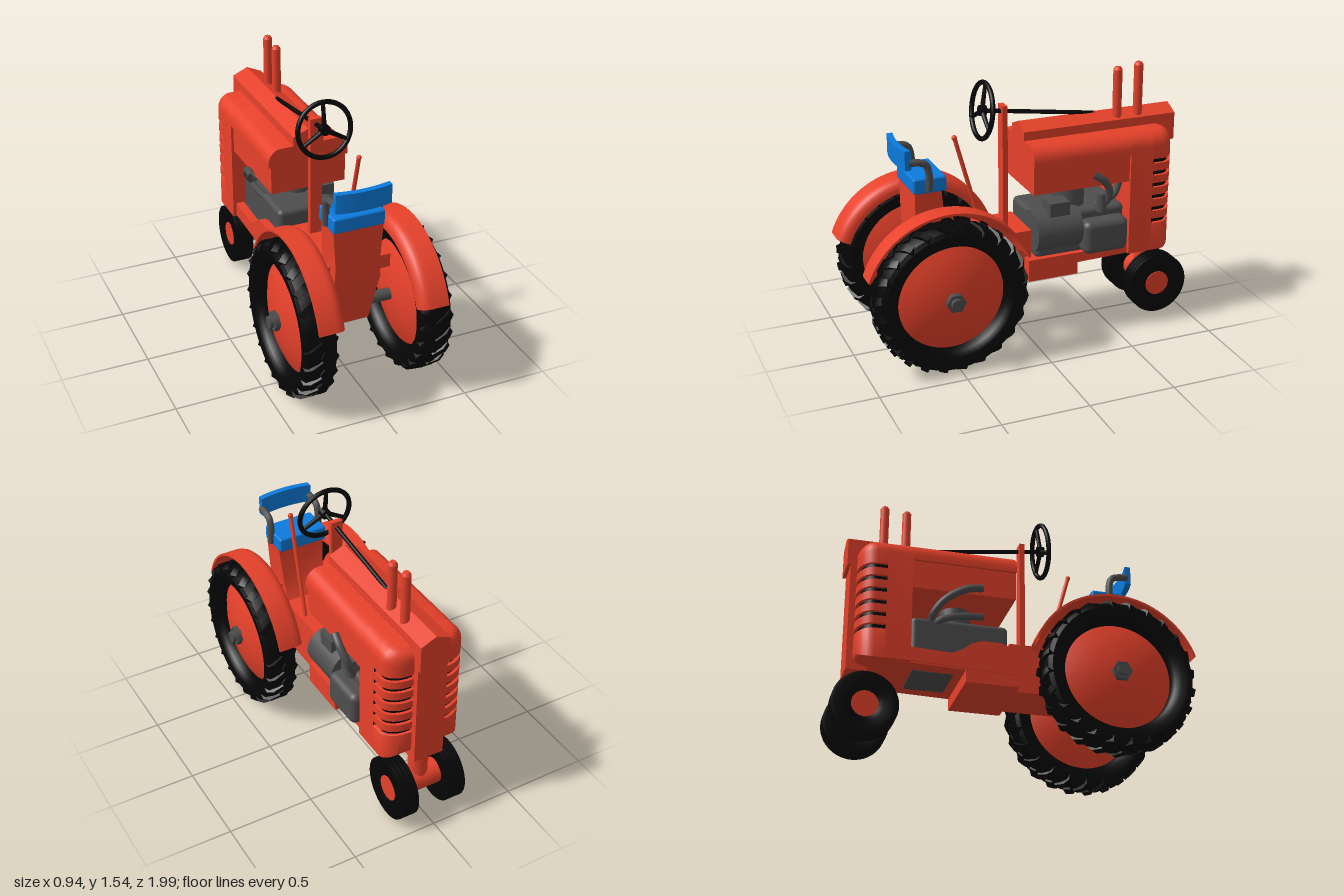
import * as THREE from 'three';
import { toCreasedNormals } from 'three/addons/utils/BufferGeometryUtils.js';
import { RoundedBoxGeometry } from 'three/addons/geometries/RoundedBoxGeometry.js';

const V = (x, y, z) => new THREE.Vector3(x, y, z);
const mat = (name, color, side = THREE.FrontSide) => {
  const m = new THREE.MeshStandardMaterial({ color, side });
  m.name = name;
  return m;
};

export function createModel() {
  const red = mat('red paint', 0xe6412a, THREE.DoubleSide);
  const black = mat('black rubber', 0x050505);
  const grey = mat('grey metal', 0x4e4e4e);
  const blue = mat('blue seat', 0x0b7bdc);
  const root = new THREE.Group();
  root.name = 'tractor';

  const add = (name, geo, m, x = 0, y = 0, z = 0, parent = root) => {
    const mesh = new THREE.Mesh(geo, m);
    mesh.name = name;
    mesh.position.set(x, y, z);
    parent.add(mesh);
    return mesh;
  };
  // box given by its limits
  const box = (name, m, x0, x1, y0, y1, z0, z1, r = 0) => add(name,
    r ? new RoundedBoxGeometry(x1 - x0, y1 - y0, z1 - z0, 3, r) : new THREE.BoxGeometry(x1 - x0, y1 - y0, z1 - z0),
    m, (x0 + x1) / 2, (y0 + y1) / 2, (z0 + z1) / 2);
  // straight round bar between two points
  const rod = (name, m, a, b, r, r2 = r, sides = 16, parent = root) => {
    const mesh = add(name, new THREE.CylinderGeometry(r2, r, a.distanceTo(b), sides), m, 0, 0, 0, parent);
    mesh.position.copy(a).lerp(b, 0.5);
    mesh.quaternion.setFromUnitVectors(V(0, 1, 0), b.clone().sub(a).normalize());
    return mesh;
  };
  const pipe = (name, m, pts, r) =>
    add(name, new THREE.TubeGeometry(new THREE.CatmullRomCurve3(pts), 24, r, 10), m);
  // profile of [radius, x] pairs turned around the x axis
  const turned = (pts, seg = 48, start = 0, len = Math.PI * 2) => toCreasedNormals(
    new THREE.LatheGeometry(pts.map(p => new THREE.Vector2(p[0], p[1])), seg, start, len).rotateZ(-Math.PI / 2), 0.6);
  // [z, y] outline extruded across x
  const slab = (name, m, pts, x0, x1) => {
    const s = new THREE.Shape(pts.map(p => new THREE.Vector2(-p[0], p[1])));
    const g = new THREE.ExtrudeGeometry(s, { depth: x1 - x0, bevelEnabled: false });
    return add(name, g.rotateY(Math.PI / 2), m, x0, 0, 0);
  };
  // skin over convex rings of equal length, with end caps
  const loft = rings => {
    const p = [], n = rings[0].length;
    const tri = (...v) => v.forEach(q => p.push(q.x, q.y, q.z));
    for (let k = 0; k + 1 < rings.length; k++) for (let i = 0; i < n; i++) {
      const j = (i + 1) % n, a = rings[k], b = rings[k + 1];
      tri(a[i], a[j], b[j]);
      tri(a[i], b[j], b[i]);
    }
    const end = rings[rings.length - 1];
    for (let i = 1; i + 1 < n; i++) {
      tri(rings[0][0], rings[0][i + 1], rings[0][i]);
      tri(end[0], end[i], end[i + 1]);
    }
    const g = new THREE.BufferGeometry();
    g.setAttribute('position', new THREE.Float32BufferAttribute(p, 3));
    return toCreasedNormals(g, 0.6);
  };

  // ---- Hood: round-shouldered sections, narrowing round the nose corners
  const section = (z, bottom, top = 1.18, r = 0.08, inset = 0) => {
    const w = 0.24 - inset;
    const ring = [V(-w, bottom, z), V(w, bottom, z)];
    for (let i = 0; i <= 12; i++) {
      const t = Math.PI * i / 12, s = i <= 6 ? 1 : -1;
      ring.push(V(s * (w - r) + r * Math.cos(t), top - r + r * Math.sin(t), z));
    }
    return ring;
  };
  const noseLoft = f => {
    const rings = [];
    for (let i = 7; i >= 0; i--) {
      const t = i / 7 * Math.PI / 2, k = 1 - Math.cos(t);
      rings.push(f(-0.79 - 0.09 * Math.sin(t), 0.13 * k, 0.06 * k));
    }
    rings.push(f(-0.73, 0, 0));
    return loft(rings);
  };
  add('grilleHousing', loft([section(-0.731, 0.46), section(-0.59, 0.46)]), red);
  add('noseTop', noseLoft((z, ex, ey) => section(z, 1.022, 1.18 - ey, 0.08 - 0.4 * ey, ex)), red);
  add('noseBottom', noseLoft((z, ex, ey) => section(z, 0.46 + ey, 0.63, 0.004, ex)), red);
  add('hood', loft([section(-0.6, 1.07), section(0, 1.07)]), red);
  box('hoodSidePanels', red, -0.225, 0.225, 0.905, 1.08, -0.6, -0.002);
  const spine = new THREE.Shape([[-0.09, 1.1], [0.09, 1.1], [0.09, 1.23], [0, 1.27], [-0.09, 1.23]]
    .map(p => new THREE.Vector2(...p)));
  add('hoodSpine', new THREE.ExtrudeGeometry(spine, { depth: 0.935, bevelEnabled: false }), red, 0, 0, -0.935);
  box('noseCap', red, -0.09, 0.09, 1.07, 1.2, -0.935, -0.8);
  box('noseColumn', red, -0.09, 0.09, 0.44, 1.08, -0.915, -0.8);

  // ---- Grille: dark core showing between red fins
  const plate = (e, height) => {
    const s = new THREE.Shape();
    s.moveTo(-0.24 + e, 0.73).lineTo(0.24 - e, 0.73);
    s.absellipse(0.11, 0.79, 0.13 - e, 0.09 - e, 0, Math.PI / 2, false, 0);
    s.absellipse(-0.11, 0.79, 0.13 - e, 0.09 - e, Math.PI / 2, Math.PI, false, 0);
    return new THREE.ExtrudeGeometry(s, { depth: height, bevelEnabled: false, curveSegments: 10 }).rotateX(-Math.PI / 2);
  };
  add('grilleCore', plate(0.018, 0.4), black, 0, 0.625, 0);
  box('grilleBack', black, -0.238, 0.238, 0.63, 1.022, -0.734, -0.72);
  const fin = plate(0, 0.046);
  for (let i = 0; i < 5; i++) add('grilleFin', fin, red, 0, 0.657 + i * 0.073, 0);

  // ---- Exhaust and intake stacks
  for (const [z, top] of [[-0.585, 1.53], [-0.715, 1.545]]) {
    rod('stack', red, V(0.05, 1.2, z), V(0.05, top - 0.015, z), 0.026);
    rod('stackTip', red, V(0.05, top - 0.015, z), V(0.05, top, z), 0.026, 0.017);
  }

  // ---- Chassis and transmission
  slab('frontFrame', red, [[0.02, 0.38], [-0.28, 0.38], [-0.28, 0.45], [-0.7, 0.46], [-0.7, 0.51], [0.02, 0.51]], -0.215, 0.215);
  slab('sideSkirt', red, [[0, 0.45], [-0.6, 0.47], [-0.6, 0.55], [-0.36, 0.54], [-0.3, 0.57], [-0.24, 0.615], [-0.18, 0.63],
    [-0.08, 0.63], [-0.03, 0.61], [0, 0.57]], -0.22, -0.17);
  box('transmission', red, -0.15, 0.15, 0.38, 0.665, -0.02, 0.4);
  const quad = (y, x, z0, z1) => [V(-x, y, z1), V(x, y, z1), V(x, y, z0), V(-x, y, z0)];
  add('rearHousing', loft([quad(0.37, 0.095, 0.34, 0.6), quad(0.665, 0.145, 0.3, 0.64)]), red);
  add('seatPedestal', loft([quad(0.66, 0.135, 0.42, 0.65), quad(0.76, 0.13, 0.48, 0.655), quad(0.985, 0.145, 0.505, 0.655)]), red);
  box('fenderBracket', red, -0.225, 0.225, 0.66, 0.74, 0.5, 0.59);
  box('dashPost', red, -0.035, 0.035, 0.65, 1.375, 0.075, 0.105);
  rod('gearLever', red, V(0.115, 0.66, 0.25), V(0.11, 1.265, 0.415), 0.012);
  add('leverKnob', new THREE.SphereGeometry(0.015, 12, 8), red, 0.11, 1.262, 0.415);

  // ---- Engine
  box('engineBlock', grey, -0.17, 0.19, 0.5, 0.76, -0.58, -0.03, 0.03);
  rod('clutchHousing', grey, V(0.13, 0.655, -0.3), V(0.13, 0.655, -0.025), 0.12, 0.12, 24);
  box('crankcaseCover', grey, 0.05, 0.275, 0.505, 0.705, -0.575, -0.3, 0.04);
  box('oilPan', grey, -0.13, 0.13, 0.45, 0.52, -0.56, -0.33);
  rod('cylinderBarrel', grey, V(0.05, 0.72, -0.29), V(0.05, 0.91, -0.29), 0.09, 0.09, 24);
  box('magneto', grey, 0.1, 0.21, 0.75, 0.83, -0.23, -0.11);
  rod('carburettor', grey, V(0.2, 0.74, -0.43), V(0.2, 0.85, -0.43), 0.03);
  pipe('exhaustManifold', grey, [V(0.16, 0.77, -0.42), V(0.21, 0.8, -0.455), V(0.245, 0.88, -0.455), V(0.26, 0.95, -0.41), V(0.255, 0.99, -0.35)], 0.022);
  pipe('coolantHose', grey, [V(0.1, 0.78, -0.46), V(0.13, 0.79, -0.53), V(0.13, 0.87, -0.57), V(0.13, 0.91, -0.58)], 0.022);
  pipe('sideHose', grey, [V(-0.14, 0.74, -0.46), V(-0.18, 0.78, -0.46), V(-0.22, 0.86, -0.4), V(-0.25, 0.92, -0.29), V(-0.265, 0.93, -0.2)], 0.022);
  pipe('lowerHose', grey, [V(-0.13, 0.72, -0.45), V(-0.17, 0.75, -0.42), V(-0.19, 0.78, -0.3), V(-0.19, 0.79, -0.18)], 0.02);

  // ---- Seat
  box('seatCushion', blue, -0.15, 0.15, 0.98, 1.068, 0.475, 0.665, 0.012);
  const back = new THREE.BoxGeometry(0.32, 0.11, 0.035, 10, 1, 1);
  const bp = back.attributes.position;
  for (let i = 0; i < bp.count; i++) bp.setZ(i, bp.getZ(i) - 0.8 * bp.getX(i) ** 2);
  back.computeVertexNormals();
  add('seatBackrest', back, blue, 0, 1.185, 0.714);
  for (const s of [-1, 1]) {
    const x = s * 0.155;
    pipe('seatArm', grey, [V(x, 1.0, 0.578), V(x, 1.1, 0.578), V(x, 1.15, 0.595), V(x, 1.165, 0.63), V(x, 1.17, 0.69)], 0.02);
  }

  // ---- Steering wheel and shaft
  const steering = new THREE.Group();
  steering.name = 'steeringWheel';
  steering.position.set(0, 1.357, 0.212);
  steering.rotation.x = -0.14;
  root.add(steering);
  add('steeringRim', new THREE.TorusGeometry(0.155, 0.014, 10, 40), black, 0, 0, 0, steering);
  for (let i = 0; i < 3; i++) {
    const a = Math.PI / 2 + i * Math.PI * 2 / 3;
    rod('steeringSpoke', black, V(0, 0, 0), V(0.155 * Math.cos(a), 0.155 * Math.sin(a), 0), 0.015, 0.011, 8, steering);
  }
  rod('steeringHub', black, V(0, 0, -0.02), V(0, 0, 0.018), 0.03, 0.03, 16, steering);
  rod('steeringShaft', black, V(0, 1.357, 0.212), V(0, 1.26, -0.46), 0.012);

  // ---- Rear axle, wheels and fenders
  rod('rearAxle', grey, V(-0.47, 0.445, 0.535), V(0.47, 0.445, 0.535), 0.034, 0.034, 20);
  const rearRim = turned([[0, -0.085], [0.08, -0.08], [0.16, -0.067], [0.24, -0.044], [0.306, -0.015],
    [0.306, 0.015], [0.24, 0.044], [0.16, 0.067], [0.08, 0.08], [0, 0.085]]);
  const rearTyre = turned([[0.304, -0.03], [0.315, -0.065], [0.345, -0.089], [0.39, -0.093], [0.412, -0.08], [0.427, -0.03], [0.427, 0.03],
    [0.412, 0.08], [0.39, 0.093], [0.345, 0.089], [0.315, 0.065], [0.304, 0.03], [0.304, -0.03]], 64);
  const fender = turned([[0.42, 0.213], [0.445, 0.214], [0.467, 0.222], [0.482, 0.237], [0.489, 0.256], [0.491, 0.275], [0.491, 0.372],
    [0.478, 0.372], [0.478, 0.27], [0.455, 0.232], [0.42, 0.223], [0.42, 0.213]], 36, -Math.PI / 2 - 1.222, 2.444);
  // tread bar, dropping towards the shoulder
  const lugGeo = new THREE.BoxGeometry(0.105, 0.034, 0.042, 3, 1, 1);
  const lp = lugGeo.attributes.position;
  for (let i = 0; i < lp.count; i++) if (lp.getX(i) > 0.04) lp.setY(i, lp.getY(i) - 0.022);
  lugGeo.computeVertexNormals();
  for (const s of [1, -1]) {
    const wheel = new THREE.Group();
    wheel.name = 'rearWheel';
    wheel.position.set(s * 0.335, 0.445, 0.535);
    wheel.rotation.y = s > 0 ? 0 : Math.PI;
    root.add(wheel);
    add('rearRim', rearRim, red, 0, 0, 0, wheel);
    add('rearTyre', rearTyre, black, 0, 0, 0, wheel);
    rod('hubNut', grey, V(0.075, 0, 0), V(0.112, 0, 0), 0.056, 0.056, 6, wheel);
    for (let i = 0; i < 48; i++) {
      const side = i % 2 ? 1 : -1, spoke = new THREE.Group();
      spoke.name = 'treadLug';
      spoke.rotation.x = i / 48 * Math.PI * 2;
      wheel.add(spoke);
      const lug = add('lug', lugGeo, black, side * 0.04, 0.421, 0, spoke);
      lug.rotation.y = side > 0 ? 0.55 : Math.PI - 0.55;
    }
    const mud = add('fender', fender, red, 0, 0.445, 0.535);
    mud.rotation.y = wheel.rotation.y;
    mud.position.z = 0.535;
  }

  // ---- Front post, axle and ribbed wheels
  rod('frontPost', red, V(0, 0.21, -0.815), V(0, 0.47, -0.815), 0.055, 0.055, 20);
  rod('frontAxle', red, V(-0.19, 0.21, -0.815), V(0.19, 0.21, -0.815), 0.073, 0.073, 28);
  const ribs = [[0.07, -0.035], [0.1, -0.05], [0.165, -0.052]];
  for (let i = 0; i < 4; i++) {
    const x = -0.048 + i * 0.026;
    ribs.push([0.181, x], [0.181, x + 0.018]);
    if (i < 3) ribs.push([0.168, x + 0.019], [0.168, x + 0.025]);
  }
  ribs.push([0.165, 0.052], [0.1, 0.05], [0.07, 0.035]);
  const frontTyre = turned(ribs);
  for (const s of [1, -1]) add('frontTyre', frontTyre, black, s * 0.148, 0.21, -0.815);
  return root;
}
